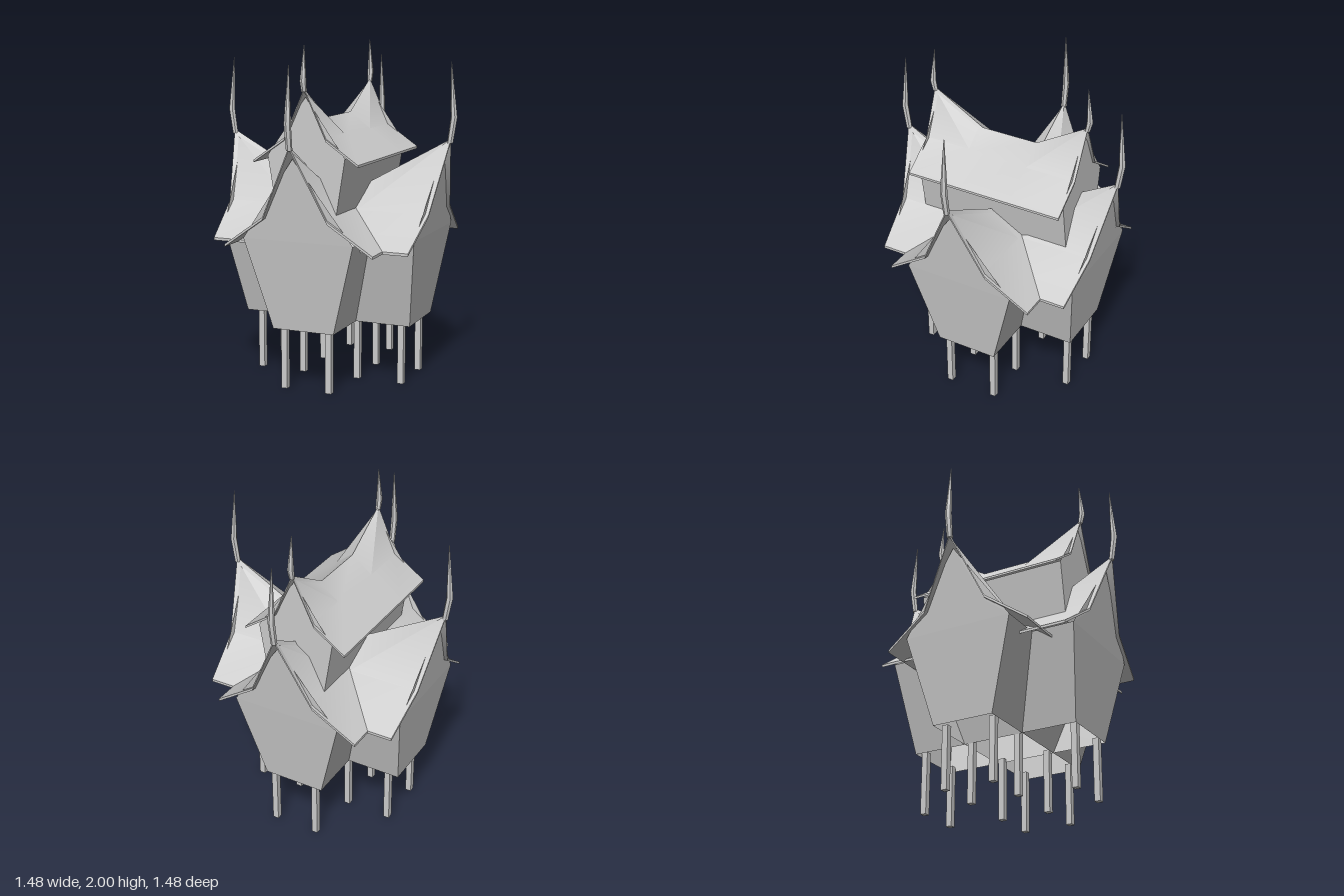
import * as THREE from 'three';
import { toCreasedNormals } from 'three/addons/utils/BufferGeometryUtils.js';

const material = new THREE.MeshStandardMaterial({ color: 0xcccccc, side: THREE.DoubleSide });

function mesh(name, geometry) {
  const m = new THREE.Mesh(geometry, material);
  m.name = name;
  return m;
}

// Joins flat polygons (lists of corner points) into one faceted geometry
function fromPolygons(polygons) {
  const pos = [];
  for (const p of polygons) {
    for (let i = 1; i < p.length - 1; i++) pos.push(...p[0], ...p[i], ...p[i + 1]);
  }
  const g = new THREE.BufferGeometry();
  g.setAttribute('position', new THREE.Float32BufferAttribute(pos, 3));
  g.computeVertexNormals();
  return g;
}

// Flared hall along z, open below, with a leaning gable at each end
function hall(bottom, top, mid, peak) {
  const corners = ([x, y, z]) => [[x, y, z], [x, y, -z], [-x, y, -z], [-x, y, z]];
  const a = corners(bottom), b = corners(top);
  const polygons = a.map((p, i) => {
    const j = (i + 1) % 4;
    return [p, a[j], b[j], b[i]];
  });
  for (const s of [1, -1]) {
    const at = ([x, y, z], side) => [x * s * side, y, z * s];
    polygons.push([at(peak, 1), at(mid, -1), at(top, -1), at(top, 1), at(mid, 1)]);
  }
  return fromPolygons(polygons);
}

// Saddle roof along z: end = [eave, mid, ridge] points, ridge sags to a flat middle
function saddleRoof([eave, mid, ridge], sagY, sagZ, thickness) {
  const section = (s, inner) => {
    const place = ([x, y, z], side) => [x * side, y, inner ? sagZ * s : z * s];
    const peak = inner ? [0, sagY, 0] : ridge;
    const upper = [place(eave, 1), place(mid, 1), place(peak, 1), place(mid, -1), place(eave, -1)];
    const lower = upper.map(([x, y, z]) => [x, y - thickness, z]).reverse();
    return [...upper, ...lower];
  };
  const rings = [section(-1, false), section(-1, true), section(1, true), section(1, false)];
  const polygons = [];
  for (let k = 0; k < 3; k++) {
    for (let i = 0; i < 10; i++) {
      const j = (i + 1) % 10;
      polygons.push([rings[k][i], rings[k][j], rings[k + 1][j], rings[k + 1][i]].reverse());
    }
  }
  // slab ends
  for (let i = 0; i < 4; i++) {
    const back = rings[0], front = rings[3];
    polygons.push([back[i], back[9 - i], back[8 - i], back[i + 1]].reverse());
    polygons.push([front[i], front[i + 1], front[8 - i], front[9 - i]]);
  }
  return toCreasedNormals(fromPolygons(polygons), 0.6);
}

// Bent, tapering finial: rows of [z, y, radius] from base to tip
function horn(rows) {
  const n = rows.length - 1;
  const g = new THREE.CylinderGeometry(1, 1, n, 6, n);
  const p = g.attributes.position;
  for (let i = 0; i < p.count; i++) {
    const [z, y, r] = rows[Math.round(p.getY(i) + n / 2)];
    p.setXYZ(i, p.getX(i) * r, y, z + p.getZ(i) * r);
  }
  return toCreasedNormals(g, 0.5);
}

function addHorns(group, rows) {
  for (const turn of [0, Math.PI]) {
    const h = mesh('ridgeHorn', horn(rows));
    h.rotation.y = turn;
    group.add(h);
  }
}

export function createModel() {
  const model = new THREE.Group();
  model.name = 'stiltHouse';

  // Two crossing lower wings
  for (const [name, turn] of [['longWing', 0], ['crossWing', Math.PI / 2]]) {
    const wing = new THREE.Group();
    wing.name = name;
    wing.add(mesh('wingWalls',
      hall([0.19, 0.36, 0.53], [0.34, 0.9, 0.605], [0.195, 1.01, 0.62], [0, 1.38, 0.66])));
    wing.add(mesh('wingRoof',
      saddleRoof([[0.46, 0.855, 0.612], [0.2, 1.035, 0.642], [0, 1.455, 0.705]], 1.175, 0.2, 0.016)));
    addHorns(wing, [[0.7, 1.43, 0.018], [0.722, 1.58, 0.02], [0.717, 1.65, 0.017], [0.702, 1.9, 0.002]]);
    wing.rotation.y = turn;
    model.add(wing);
  }

  // Raised upper storey
  const upper = new THREE.Group();
  upper.name = 'upperStorey';
  upper.add(mesh('upperWalls',
    hall([0.18, 1.0, 0.48], [0.24, 1.37, 0.48], [0.128, 1.45, 0.48], [0, 1.71, 0.48])));
  upper.add(mesh('upperRoof',
    saddleRoof([[0.325, 1.34, 0.495], [0.13, 1.475, 0.495], [0, 1.76, 0.502]], 1.573, 0.18, 0.014)));
  addHorns(upper, [[0.5, 1.74, 0.016], [0.513, 1.8, 0.019], [0.51, 1.84, 0.016], [0.497, 2.0, 0.002]]);
  model.add(upper);

  // Stilts: under each wing end and under the crossing
  const stilts = new THREE.Group();
  stilts.name = 'stilts';
  const stiltGeometry = new THREE.BoxGeometry(0.037, 0.38, 0.037);
  for (const [x, z] of [[0.14, 0.495], [0.457, 0.153], [0.178, 0.153]]) {
    for (const sx of [1, -1]) {
      for (const sz of [1, -1]) {
        const stilt = mesh('stilt', stiltGeometry);
        stilt.position.set(x * sx + 0.01, 0.19, z * sz);
        stilts.add(stilt);
      }
    }
  }
  model.add(stilts);

  return model;
}
